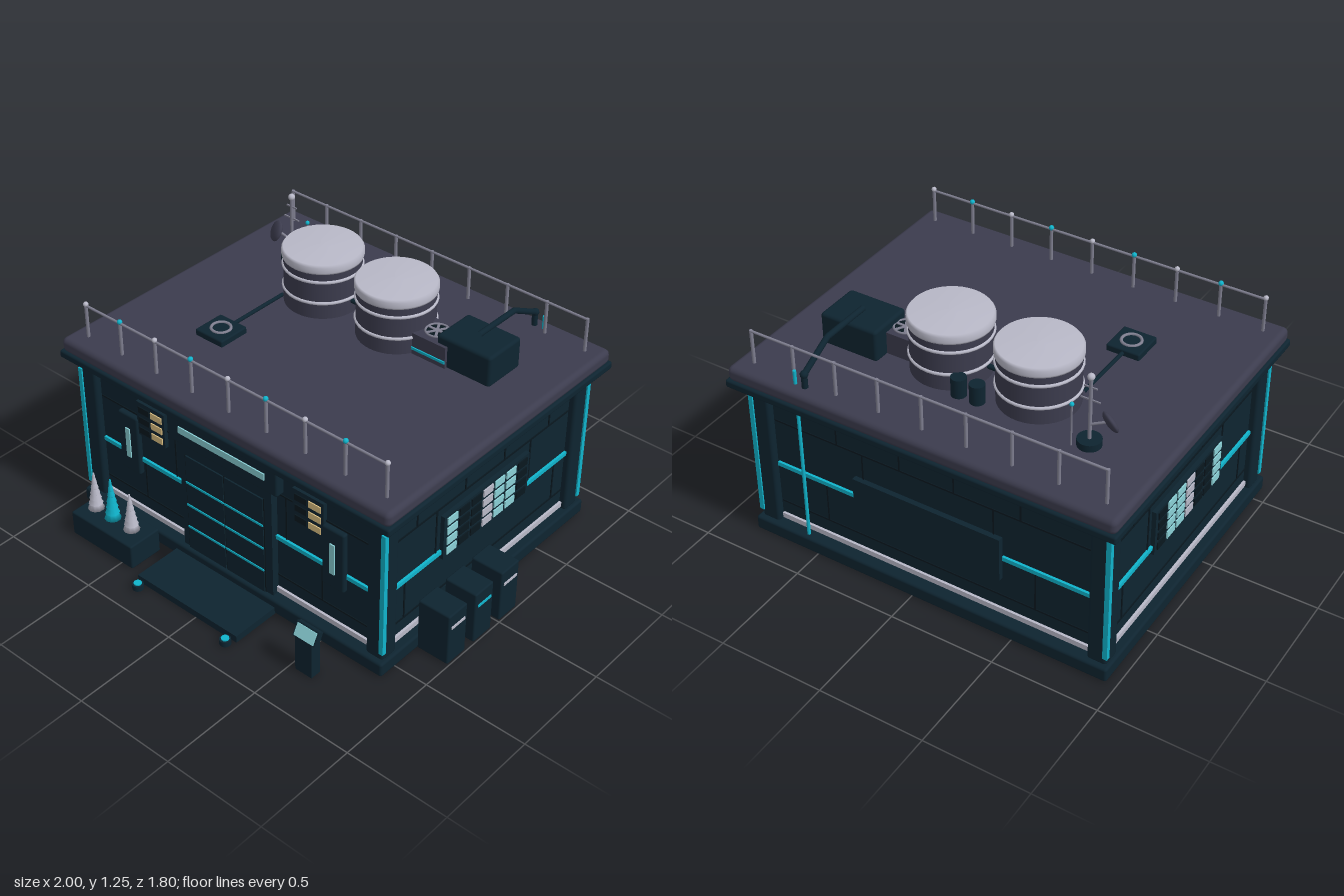
import * as THREE from 'three';
import { RoundedBoxGeometry } from 'three/addons/geometries/RoundedBoxGeometry.js';

const paint = (name, hex) => Object.assign(new THREE.MeshStandardMaterial({ color: hex }), { name });
const M = {
  wall: paint('dark teal', 0x0e2430),
  seam: paint('deep shadow teal', 0x09171f),
  roof: paint('slate', 0x3c3c4e),
  pale: paint('pale metal', 0xb9b9c8),
  metal: paint('grey metal', 0x7f7f90),
  cyan: paint('cyan', 0x10b4cc),
  glow: paint('pale aqua', 0x8ad0d6),
  cream: paint('warm cream', 0xe0c384),
};

// Centre and half size of the wall block
const CX = -0.06, CZ = -0.13, HX = 0.845, HZ = 0.665;

function add(parent, name, geo, mat, x = 0, y = 0, z = 0) {
  const m = new THREE.Mesh(geo, mat);
  m.name = name;
  m.position.set(x, y, z);
  parent.add(m);
  return m;
}

// Box given by its extents; r > 0 rounds the edges
function box(parent, name, mat, [x0, x1], [y0, y1], [z0, z1], r = 0) {
  const s = [x1 - x0, y1 - y0, z1 - z0];
  const geo = r ? new RoundedBoxGeometry(...s, 2, r) : new THREE.BoxGeometry(...s);
  return add(parent, name, geo, mat, (x0 + x1) / 2, (y0 + y1) / 2, (z0 + z1) / 2);
}

const cyl = (parent, name, mat, r, x, y0, y1, z, n = 24, rTop = r) =>
  add(parent, name, new THREE.CylinderGeometry(rTop, r, y1 - y0, n), mat, x, (y0 + y1) / 2, z);

const ball = (parent, name, mat, r, x, y, z) =>
  add(parent, name, new THREE.SphereGeometry(r, 12, 8), mat, x, y, z);

function pipe(parent, name, mat, r, ...pts) {
  const path = new THREE.CurvePath();
  const v = pts.map(p => new THREE.Vector3(...p));
  for (let i = 1; i < v.length; i++) path.add(new THREE.LineCurve3(v[i - 1], v[i]));
  return add(parent, name, new THREE.TubeGeometry(path, (v.length - 1) * 12, r, 10), mat);
}

function ring(parent, name, mat, R, r, x, y, z) {
  const m = add(parent, name, new THREE.TorusGeometry(R, r, 8, 32), mat, x, y, z);
  m.rotation.x = Math.PI / 2;
  return m;
}

// A wall frame: local x runs along the wall, local z points outward
function wallSide(root, name, x, z, angle) {
  const g = new THREE.Group();
  g.name = name;
  g.position.set(x, 0, z);
  g.rotation.y = angle;
  root.add(g);
  return g;
}

const span = (s, a, b) => (s > 0 ? [a, b] : [-b, -a]);

// Bands, base strip and panel seams shared by all walls
function trim(w, inner, outer, baseInner) {
  for (const s of [-1, 1]) {
    box(w, 'glowBand', M.cyan, span(s, inner, outer), [0.375, 0.395], [0, 0.012]);
    box(w, 'baseStrip', M.pale, span(s, baseInner, outer), [0.08, 0.106], [0, 0.012]);
    for (const [u, y0, y1] of [[0.13, 0.62, 0.76], [0.45, 0.62, 0.76], [0.32, 0.39, 0.62], [0.52, 0.17, 0.375]])
      box(w, 'panelSeam', M.seam, span(s, u, u + 0.008), [y0, y1], [0, 0.004]);
  }
  for (const y of [0.17, 0.615]) box(w, 'panelSeam', M.seam, [-outer, outer], [y, y + 0.008], [0, 0.004]);
}

function frontWall(root) {
  const w = wallSide(root, 'frontWall', CX, CZ + HZ, 0);
  trim(w, 0.265, 0.78, 0.265);
  // Entrance
  box(w, 'doorFrame', M.wall, [-0.265, 0.27], [0.06, 0.64], [0, 0.035]);
  box(w, 'doorHeader', M.wall, [-0.315, 0.315], [0.64, 0.79], [0, 0.05], 0.01);
  box(w, 'headerLight', M.glow, [-0.247, 0.25], [0.702, 0.735], [0.048, 0.056]);
  for (const s of [-1, 1]) {
    box(w, 'doorSeam', M.seam, span(s, 0.226, 0.232), [0.065, 0.585], [0.034, 0.038]);
    box(w, 'doorLeaf', M.wall, span(s, 0.004, 0.226), [0.065, 0.582], [0.03, 0.042]);
    for (const y of [0.193, 0.316, 0.44])
      box(w, 'doorLine', M.cyan, span(s, 0.004, 0.226), [y - 0.005, y + 0.005], [0.04, 0.046]);
  }
  box(w, 'doorGap', M.seam, [-0.004, 0.004], [0.065, 0.585], [0.034, 0.038]);
  // Small windows and wall lamps on both sides
  for (const [x, lamp] of [[-0.455, -0.595], [0.46, 0.602]]) {
    box(w, 'windowPanel', M.wall, [x - 0.085, x + 0.085], [0.535, 0.712], [0, 0.02]);
    for (const y of [0.565, 0.62, 0.675]) {
      box(w, 'darkWindow', M.seam, [x - 0.07, x - 0.005], [y - 0.016, y + 0.016], [0.018, 0.025]);
      box(w, 'litWindow', M.cream, [x + 0.005, x + 0.072], [y - 0.016, y + 0.016], [0.018, 0.025]);
    }
    box(w, 'lampPlate', M.wall, [lamp - 0.06, lamp + 0.06], [0.305, 0.615], [0, 0.03], 0.01);
    box(w, 'lampLight', M.glow, [lamp - 0.013, lamp + 0.013], [0.385, 0.542], [0.028, 0.036]);
  }
}

function sideWall(root, s) {
  const w = wallSide(root, s > 0 ? 'leftWall' : 'rightWall', CX + s * HX, CZ, s * Math.PI / 2);
  trim(w, 0.295, 0.605, 0);
  box(w, 'windowPanel', M.wall, [-0.295, 0.295], [0.35, 0.575], [0, 0.02]);
  const lit = { 0: M.glow, 3: M.pale, 4: M.glow, 5: M.glow };
  for (let c = 0; c < 7; c++) for (let r = 0; r < 4; r++) {
    const u = s * (c - 3) * 0.081, y = 0.385 + r * 0.053;
    box(w, lit[c] ? 'litWindow' : 'darkWindow', lit[c] || M.seam,
      [u - 0.033, u + 0.033], [y - 0.018, y + 0.018], [0.018, 0.026]);
  }
}

function backWall(root) {
  const w = wallSide(root, 'backWall', CX, CZ - HZ, Math.PI);
  trim(w, 0.37, 0.78, 0);
  box(w, 'servicePanel', M.wall, [-0.365, 0.365], [0.27, 0.49], [0, 0.025]);
}

function railing(root, z, balls) {
  const g = new THREE.Group();
  g.name = 'railing';
  root.add(g);
  pipe(g, 'handRail', M.metal, 0.006, [-0.905, 1.06, z], [0.79, 1.06, z]);
  for (let i = 0; i < 9; i++) {
    const x = -0.905 + i * 0.2119;
    cyl(g, 'railPost', M.metal, 0.008, x, 0.89, 1.065, z, 8);
    if (balls) ball(g, 'railKnob', i % 2 ? M.cyan : M.pale, 0.012, x, 1.067, z);
  }
}

function tank(root, x) {
  const g = new THREE.Group();
  g.name = 'tank';
  g.position.set(x, 0, -0.385);
  root.add(g);
  cyl(g, 'tankBody', M.roof, 0.178, 0, 0.895, 1.14, 0, 40);
  const p = [[0, 1.132], [0.184, 1.132], [0.186, 1.14], [0.186, 1.165], [0.178, 1.176], [0, 1.18]];
  add(g, 'tankLid', new THREE.LatheGeometry(p.map(q => new THREE.Vector2(...q)), 40), M.pale);
  for (const y of [0.98, 1.088]) ring(g, 'tankHoop', M.pale, 0.178, 0.008, 0, y, 0);
}

function roofEquipment(root) {
  tank(root, -0.343);
  tank(root, 0.081);
  pipe(root, 'tankLink', M.wall, 0.012, [-0.18, 0.96, -0.38], [-0.08, 0.96, -0.38]);
  for (const x of [-0.145, -0.055]) cyl(root, 'ventStack', M.wall, 0.034, x, 0.89, 0.99, -0.54);
  // Hatch with its feed pipe
  box(root, 'hatch', M.wall, [-0.565, -0.405], [0.89, 0.93], [0.05, 0.21], 0.008);
  ring(root, 'hatchRing', M.metal, 0.044, 0.007, -0.485, 0.931, 0.13);
  pipe(root, 'hatchPipe', M.wall, 0.009, [-0.485, 0.912, 0.06], [-0.485, 0.912, -0.27]);
  // Fan unit
  box(root, 'fanUnit', M.roof, [0.24, 0.42], [0.89, 1.005], [-0.46, -0.3]);
  box(root, 'fanUnitStripe', M.cyan, [0.24, 0.42], [0.925, 0.937], [-0.301, -0.294]);
  cyl(root, 'fanWell', M.seam, 0.052, 0.312, 1.0, 1.008, -0.383);
  ring(root, 'fanRing', M.metal, 0.052, 0.005, 0.312, 1.009, -0.383);
  for (let i = 0; i < 3; i++)
    add(root, 'fanBlade', new THREE.BoxGeometry(0.1, 0.004, 0.012), M.metal, 0.312, 1.01, -0.383).rotation.y = i * Math.PI / 3;
  // Cooling box with ducts over the back edge
  box(root, 'coolingBox', M.wall, [0.36, 0.645], [0.89, 1.045], [-0.535, -0.315], 0.015);
  pipe(root, 'duct', M.wall, 0.014, [0.505, 1.053, -0.42], [0.505, 1.053, -0.67], [0.505, 0.965, -0.835], [0.505, 0.88, -0.835]);
  ball(root, 'ductElbow', M.wall, 0.018, 0.505, 0.965, -0.835);
  cyl(root, 'downPipe', M.cyan, 0.008, 0.555, 0.08, 0.965, -0.835, 10);
  // Antenna mast and dish
  cyl(root, 'mastBase', M.wall, 0.052, -0.67, 0.89, 0.932, -0.54);
  cyl(root, 'mast', M.metal, 0.008, -0.67, 0.93, 1.225, -0.54, 10);
  ball(root, 'mastTip', M.pale, 0.016, -0.67, 1.23, -0.54);
  for (const [y, h] of [[1.12, 0.045], [1.18, 0.03]])
    box(root, 'mastBar', M.metal, [-0.67 - h, -0.67 + h], [y - 0.003, y + 0.003], [-0.543, -0.537]);
  pipe(root, 'dishArm', M.metal, 0.006, [-0.67, 1.0, -0.54], [-0.74, 1.03, -0.525]);
  const dish = add(root, 'dish', new THREE.SphereGeometry(0.05, 20, 10), M.roof, -0.75, 1.03, -0.52);
  dish.scale.z = 0.35;
  dish.rotation.set(-0.5, -0.5, 0);
  cyl(root, 'beaconPole', M.metal, 0.004, -0.61, 0.89, 1.1, -0.58, 6);
  ball(root, 'beacon', M.cyan, 0.01, -0.61, 1.1, -0.58);
}

function tree(root, mat, x, top) {
  const pts = [], n = 7, y0 = 0.125, h = top - y0;
  for (let i = 0; i < n; i++) {
    const r = 0.037 * (1 - i / n);
    pts.push(new THREE.Vector2(i ? r : 0, y0 + h * i / n), new THREE.Vector2(r + 0.002, y0 + h * i / n + 0.001));
    pts.push(new THREE.Vector2(r * 0.72, y0 + h * (i + 0.9) / n));
  }
  pts.push(new THREE.Vector2(0, top));
  add(root, 'coneTree', new THREE.LatheGeometry(pts, 10), mat, x, 0, 0.705);
}

function forecourt(root) {
  box(root, 'entranceStep', M.wall, [-0.355, 0.24], [0, 0.035], [0.5, 0.835]);
  for (const x of [-0.323, 0.206]) {
    cyl(root, 'groundLight', M.wall, 0.026, x, 0, 0.026, 0.868);
    cyl(root, 'groundLens', M.cyan, 0.018, x, 0.024, 0.032, 0.868);
  }
  box(root, 'planter', M.wall, [-0.815, -0.43], [0, 0.125], [0.625, 0.8], 0.008);
  tree(root, M.pale, -0.752, 0.325);
  tree(root, M.cyan, -0.643, 0.345);
  tree(root, M.pale, -0.522, 0.325);
  // Kiosk with a tilted screen
  box(root, 'kioskPost', M.wall, [0.53, 0.62], [0, 0.19], [0.73, 0.785]);
  const head = new THREE.Group();
  head.name = 'kioskHead';
  head.position.set(0.575, 0.205, 0.757);
  head.rotation.x = -0.5;
  root.add(head);
  box(head, 'kioskCase', M.wall, [-0.06, 0.06], [-0.035, 0.035], [-0.015, 0.012]);
  box(head, 'kioskScreen', M.glow, [-0.052, 0.052], [-0.028, 0.028], [0.011, 0.018]);
  // Cabinets along the side
  [-0.068, 0.113, 0.292].forEach((z, i) => {
    box(root, 'cabinet', M.wall, [0.83, 0.993], [0, 0.265], [z - 0.061, z + 0.061], 0.008);
    box(root, 'cabinetStripe', i === 1 ? M.cyan : M.pale, [0.99, 0.997], [0.19, 0.203], [z - 0.045, z + 0.045]);
  });
}

export function createModel() {
  const root = new THREE.Group();
  root.name = 'building';
  // Shell
  box(root, 'plinth', M.wall, [CX - 0.895, CX + 0.895], [0, 0.07], [CZ - 0.725, CZ + 0.725], 0.012);
  box(root, 'walls', M.wall, [CX - HX, CX + HX], [0.05, 0.81], [CZ - HZ, CZ + HZ]);
  box(root, 'roofEave', M.wall, [CX - 0.94, CX + 0.94], [0.797, 0.835], [-0.905, 0.625], 0.01);
  box(root, 'roofSlab', M.roof, [CX - 0.932, CX + 0.932], [0.828, 0.9], [-0.897, 0.617], 0.025);
  // Corner columns with light strips
  for (const sx of [-1, 1]) for (const sz of [-1, 1]) {
    const x = CX + sx * 0.832, z = CZ + sz * 0.652;
    box(root, 'cornerColumn', M.wall, [x - 0.046, x + 0.046], [0.06, 0.77], [z - 0.046, z + 0.046], 0.015);
    const ex = CX + sx * 0.874, ez = CZ + sz * 0.694;
    box(root, 'cornerLight', M.cyan, [ex - 0.011, ex + 0.011], [0.105, 0.74], [ez - 0.011, ez + 0.011]);
  }
  frontWall(root);
  backWall(root);
  sideWall(root, 1);
  sideWall(root, -1);
  railing(root, 0.53, true);
  railing(root, -0.81, false);
  roofEquipment(root);
  forecourt(root);
  return root;
}
